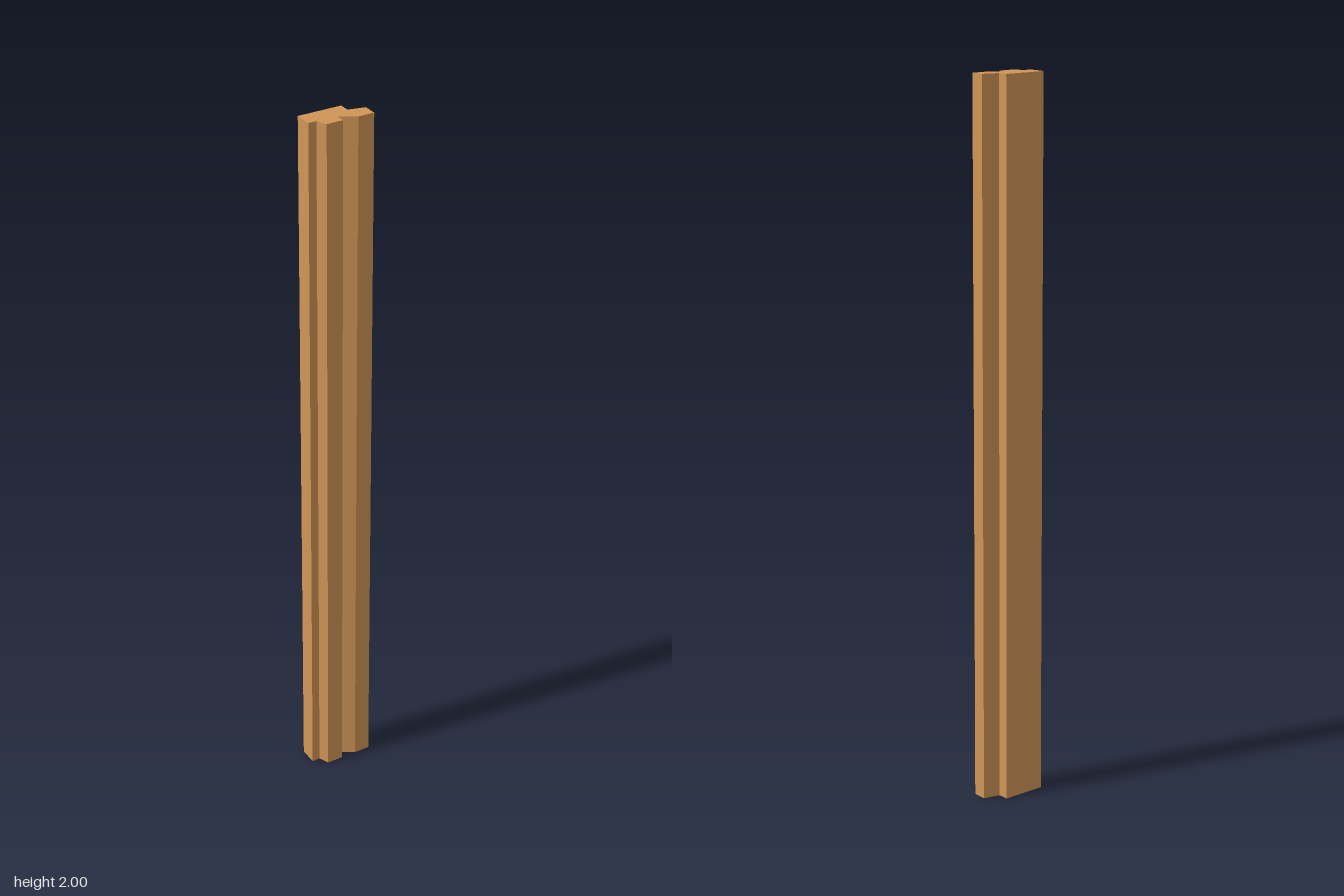
import * as THREE from 'three';

export function createModel() {
  const group = new THREE.Group();
  group.name = 'woodenProfile';

  // Cross-section of the moulding as [x, z] corners, seen from above
  const section = [
    [-0.086, -0.04], [0.039, -0.04], [0.039, -0.01], [0.086, 0.001],
    [0.086, 0.04], [0.04, 0.04], [-0.004, 0.012], [-0.004, 0.04],
    [-0.051, 0.04], [-0.063, 0.011], [-0.086, 0.011],
  ];
  const shape = new THREE.Shape(section.map(([x, z]) => new THREE.Vector2(x, -z)));

  // Extrude the section and stand it upright
  const geometry = new THREE.ExtrudeGeometry(shape, { depth: 2, bevelEnabled: false });
  geometry.rotateX(-Math.PI / 2);

  const material = new THREE.MeshStandardMaterial({ color: 0xd09656 });
  const post = new THREE.Mesh(geometry, material);
  post.name = 'profiledPost';
  group.add(post);
  return group;
}
